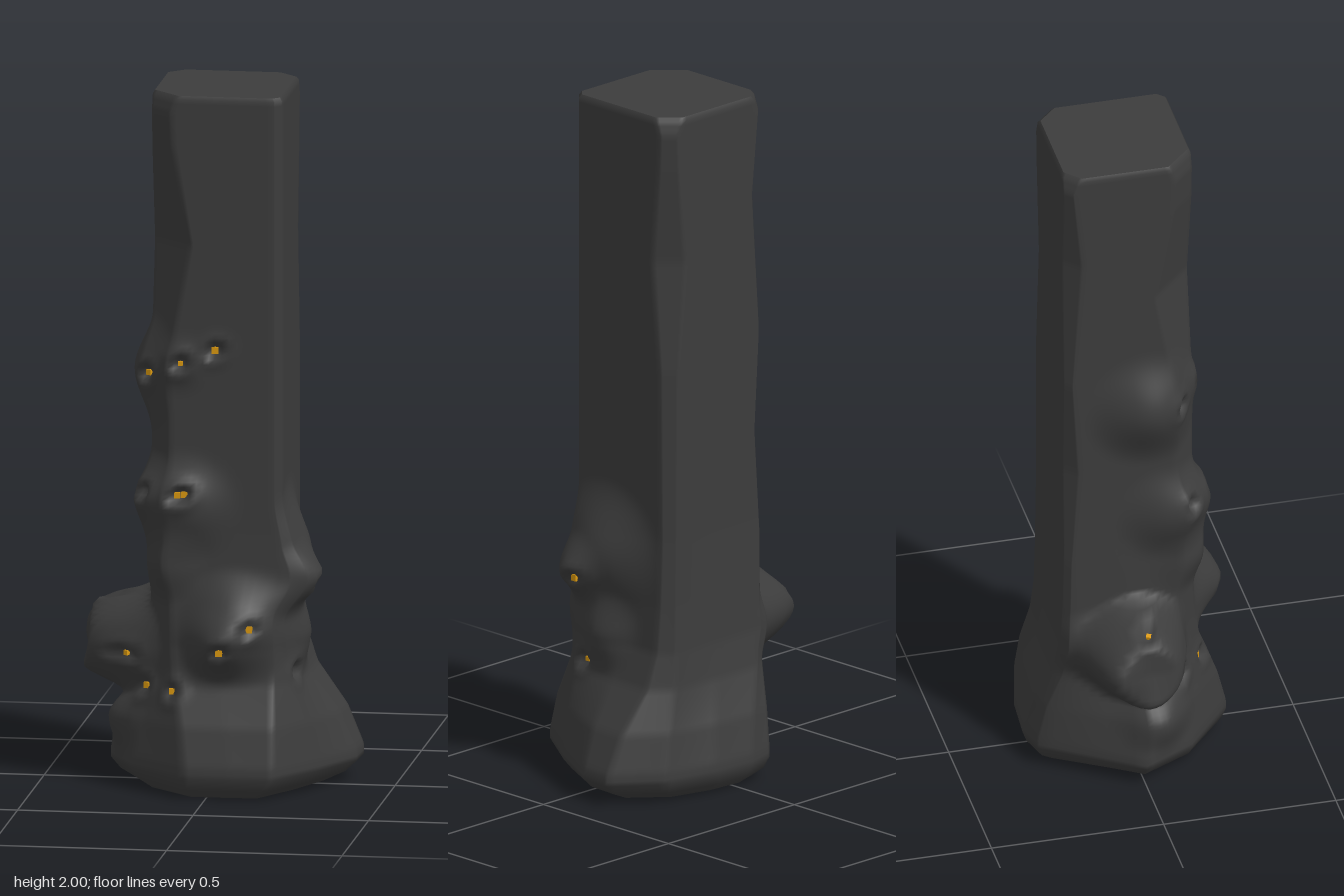
import * as THREE from 'three';

const charcoal = new THREE.MeshStandardMaterial({ color: 0x3c3c3c });
charcoal.name = 'charcoal';
const amber = new THREE.MeshStandardMaterial({ color: 0xdc9a10 });
amber.name = 'amber';

const SUB = 8, COLS = 12 * SUB, ROWS = 150;

// Outline of the flared foot, anticlockwise from above as [x, z]
const FOOT = [[0.3, 0.12], [0.385, -0.045], [0.39, -0.145], [0.26, -0.245], [0.1, -0.285], [-0.04, -0.295],
  [-0.13, -0.27], [-0.31, 0], [-0.23, 0.15], [-0.06, 0.29], [0.07, 0.29], [0.19, 0.285]];

// Piecewise linear curves over height: foot flare and the worn corners
const FLARE = [[0, 1], [0.09, 1], [0.2, 0.75], [0.32, 0.28], [0.42, 0.1], [0.55, 0.04], [0.75, 0]];
const BACK_LEFT = [[0, 0.03], [0.7, 0.03], [1.25, 0.035], [1.57, 0.066], [1.85, 0.04], [1.95, 0.035], [2, 0.055]];
const BACK_RIGHT = [[0, 0.02], [0.7, 0.02], [1, 0.04], [1.3, 0.022], [1.7, 0.05], [1.95, 0.025], [2, 0.045]];
const FRONT_RIGHT = [[0, 0.06], [1.25, 0.06], [1.57, 0.12], [1.85, 0.068], [1.95, 0.062], [2, 0.08]];
function curve(points, y) {
  for (let i = 1; i < points.length; i++) {
    const [a, u] = points[i - 1], [b, v] = points[i];
    if (y <= b) return u + (v - u) * (y - a) / (b - a);
  }
  return points[points.length - 1][1];
}

// Chamfered square section of the shaft
function shaftOutline(y) {
  const x0 = -0.175, x1 = 0.203, z0 = -0.204, z1 = 0.178, mx = 0.012, mz = -0.012, c0 = 0.022;
  const c1 = curve(BACK_LEFT, y), c2 = curve(BACK_RIGHT, y), c3 = curve(FRONT_RIGHT, y);
  return [[x1, z1 - c0], [x1, mz], [x1, z0 + c1], [x1 - c1, z0], [mx, z0], [x0 + c2, z0],
    [x0, z0 + c2], [x0, mz], [x0, z1 - c3], [x0 + c3, z1], [mx, z1], [x1 - c0, z1]];
}

function ring(y, sx = 1, sz = 1) {
  const t = curve(FLARE, y);
  const outline = shaftOutline(y).map(([x, z], i) =>
    [(x + (FOOT[i][0] - x) * t) * sx, (z + (FOOT[i][1] - z) * t) * sz]);
  const out = [];
  for (let i = 0; i < COLS; i++) {
    const k = Math.floor(i / SUB), f = (i % SUB) / SUB, a = outline[k], b = outline[(k + 1) % 12];
    out.push(new THREE.Vector3(a[0] + (b[0] - a[0]) * f, y, a[1] + (b[1] - a[1]) * f));
  }
  return out;
}

// Lumps: centre, push, radius and, for blunt ones, steepness
const LUMPS = [
  [[-0.2, 0.41, -0.005], [-0.178, 0, 0], 0.17, 2],
  [[-0.2, 0.42, -0.13], [-0.05, 0, -0.01], 0.13],
  [[-0.25, 0.2, 0.05], [-0.05, 0, 0.01], 0.13],
  [[0.07, 0.48, 0.19], [0, 0, 0.09], 0.18],
  [[0.01, 0.42, 0.19], [0, 0, 0.04], 0.13],
  [[0.2, 0.67, 0.05], [0.065, 0, 0], 0.22],
  [[0.2, 0.61, 0.12], [0.055, 0, 0.005], 0.12],
  [[0.22, 0.45, 0.04], [0.05, 0, 0], 0.14],
  [[-0.17, 0.83, 0.1], [-0.045, 0, 0.02], 0.16],
  [[-0.08, 0.82, 0.18], [0, 0, 0.045], 0.17],
  [[-0.13, 0.66, 0.16], [-0.02, 0, 0.03], 0.13],
  [[-0.17, 1.19, 0.04], [-0.06, 0, 0], 0.19],
  [[-0.08, 1.23, 0.18], [0, 0, 0.012], 0.1],
];

// Pits: approximate place, outward direction, size of the amber speck inside
const PITS = [
  [[-0.175, 1.19, 0.12], [-0.5, 0, 0.85], 0.016], [[-0.08, 1.23, 0.19], [0, 0, 1], 0.013],
  [[0.01, 1.265, 0.18], [0, 0, 1], 0.019],
  [[-0.1, 0.86, 0.22], [0, 0, 1], 0.017], [[-0.08, 0.855, 0.22], [0, 0, 1], 0.017],
  [[-0.19, 0.86, 0.15], [-0.7, 0, 0.7], 0], [[-0.24, 0.39, 0.12], [-0.5, 0, 0.85], 0.014],
  [[-0.22, 0.295, 0.17], [-0.4, 0, 0.9], 0.017], [[-0.11, 0.29, 0.23], [0, 0, 1], 0.017],
  [[0.04, 0.425, 0.26], [0, 0, 1], 0.019], [[0.12, 0.48, 0.28], [0, 0, 1], 0.019],
  [[0.29, 0.6, 0.1], [1, 0, 0], 0.019], [[0.27, 0.345, 0.1], [1, 0, 0], 0.013],
  [[-0.28, 0.5, 0], [-0.3, 0.95, 0], 0.014],
];

function falloff(d, r, steep = 1) {
  const k = THREE.MathUtils.clamp((1 - d / r) * steep, 0, 1);
  return k * k * (3 - 2 * k);
}

export function createModel() {
  const model = new THREE.Group();
  model.name = 'gnarledPillar';

  // Side wall rings from the ground up, with a soft bevel at both ends
  const points = [...ring(0, 0.75, 0.84), ...ring(0.028, 0.91, 0.96)];
  for (let j = 0; j <= ROWS; j++) points.push(...ring(0.06 + 1.93 * j / ROWS));
  points.push(...ring(2, 0.97, 0.97));
  const rows = points.length / COLS;

  // Swell the lumps
  const home = points.map(p => p.clone());
  for (const [c, push, r, steep] of LUMPS) {
    const centre = new THREE.Vector3(...c), dir = new THREE.Vector3(...push);
    points.forEach((p, i) => p.addScaledVector(dir, falloff(home[i].distanceTo(centre), r, steep)));
  }

  // Sink the pits with a small raised lip, and seat a speck in each
  const specks = new THREE.Group();
  specks.name = 'amberSpecks';
  for (const [at, out, size] of PITS) {
    const target = new THREE.Vector3(...at), dir = new THREE.Vector3(...out).normalize();
    // Distance that mostly ignores depth along the pit's axis
    const miss = p => {
      const depth = p.clone().sub(target).dot(dir);
      return p.distanceToSquared(target) - 0.95 * depth * depth;
    };
    const centre = points.reduce((a, b) => miss(b) < miss(a) ? b : a).clone();
    for (const p of points) {
      const d = p.distanceTo(centre);
      p.addScaledVector(dir, 0.012 * falloff(d, 0.07) - 0.04 * falloff(d, 0.038));
    }
    if (size === 0) continue;
    const speck = new THREE.Mesh(new THREE.BoxGeometry(size, size, 0.012), amber);
    speck.name = 'speck';
    speck.position.copy(centre).addScaledVector(dir, -0.018);
    speck.quaternion.setFromUnitVectors(new THREE.Vector3(0, 0, 1), dir);
    specks.add(speck);
  }

  // Wall faces
  const index = [];
  for (let j = 0; j < rows - 1; j++) {
    for (let i = 0; i < COLS; i++) {
      const a = j * COLS + i, b = j * COLS + (i + 1) % COLS;
      index.push(a, b, b + COLS, a, b + COLS, a + COLS);
    }
  }
  // Flat end caps
  for (const [row, y, up] of [[0, 0, false], [rows - 1, 2, true]]) {
    const start = points.length;
    for (let i = 0; i < COLS; i++) points.push(points[row * COLS + i].clone());
    points.push(new THREE.Vector3(0.01, y, -0.01));
    for (let i = 0; i < COLS; i++) {
      const a = start + i, b = start + (i + 1) % COLS, c = start + COLS;
      index.push(...(up ? [a, b, c] : [b, a, c]));
    }
  }
  const geometry = new THREE.BufferGeometry().setFromPoints(points);
  geometry.setIndex(index);
  geometry.computeVertexNormals();
  const pillar = new THREE.Mesh(geometry, charcoal);
  pillar.name = 'pillar';
  model.add(pillar, specks);
  return model;
}
